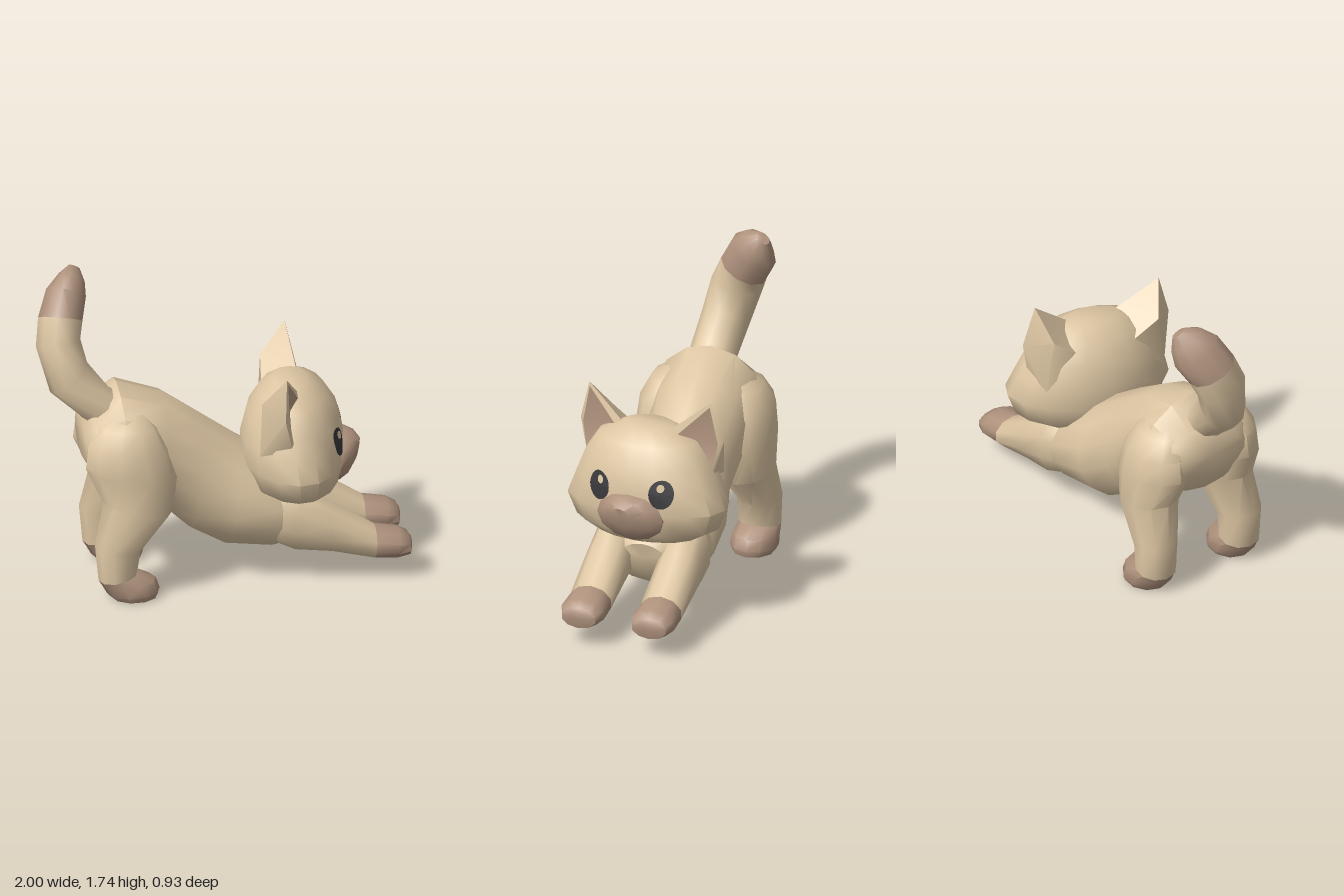
import * as THREE from 'three';
import { toCreasedNormals } from 'three/addons/utils/BufferGeometryUtils.js';

const mat = (name, color) => Object.assign(
  new THREE.MeshStandardMaterial({ color, side: THREE.DoubleSide }), { name });

// Skin over oval rings. Each ring: [xA, yA, xB, yB, halfWidthZ, centreZ, sideRise, sideShift];
// A and B are opposite points of the oval in the xy plane, sideShift moves both flanks along x.
function loft(name, material, rings, capStart, capEnd, sides = 12) {
  const pos = [], idx = [];
  for (const [xa, ya, xb, yb, w, zc = 0, rise = 0, shift = 0] of rings) {
    for (let i = 0; i < sides; i++) {
      const t = (i / sides) * Math.PI * 2, c = Math.cos(t), s = Math.sin(t);
      pos.push((xa + xb) / 2 + c * (xa - xb) / 2 + s * s * shift,
        (ya + yb) / 2 + c * (ya - yb) / 2 + s * rise, zc + s * w);
    }
  }
  for (let r = 0; r < rings.length - 1; r++) {
    for (let i = 0; i < sides; i++) {
      const a = r * sides + i, b = r * sides + (i + 1) % sides;
      idx.push(a, b, a + sides, b, b + sides, a + sides);
    }
  }
  const cap = (r, flip) => {
    const [xa, ya, xb, yb, , zc = 0] = rings[r], n = pos.length / 3;
    pos.push((xa + xb) / 2, (ya + yb) / 2, zc);
    for (let i = 0; i < sides; i++) {
      const a = r * sides + i, b = r * sides + (i + 1) % sides;
      idx.push(...(flip ? [b, a, n] : [a, b, n]));
    }
  };
  if (capStart) cap(0, true);
  if (capEnd) cap(rings.length - 1, false);

  // turn the faces outward whichever way the rings run
  const v = (i) => new THREE.Vector3().fromArray(pos, i * 3);
  const mid = new THREE.Vector3();
  for (let i = 0; i < pos.length / 3; i++) mid.add(v(i));
  mid.divideScalar(pos.length / 3);
  let volume = 0;
  for (let i = 0; i < idx.length; i += 3) {
    const [a, b, c] = [v(idx[i]).sub(mid), v(idx[i + 1]).sub(mid), v(idx[i + 2]).sub(mid)];
    volume += a.dot(b.cross(c));
  }
  if (volume < 0) idx.reverse();

  const g = new THREE.BufferGeometry();
  g.setAttribute('position', new THREE.Float32BufferAttribute(pos, 3));
  g.setIndex(idx);
  const mesh = new THREE.Mesh(toCreasedNormals(g, 0.85), material);
  mesh.name = name;
  return mesh;
}

// Mesh from a few named corner points
function facets(name, material, points, faces) {
  const g = new THREE.BufferGeometry();
  g.setAttribute('position', new THREE.Float32BufferAttribute(
    faces.flatMap((f) => [...f].flatMap((k) => points[k])), 3));
  const mesh = new THREE.Mesh(toCreasedNormals(g, 0.9), material);
  mesh.name = name;
  return mesh;
}

// Thin disc draped over the front (+x) of a mesh
function drapedDisc(name, material, target, y, z, ry, rz, lift) {
  const g = new THREE.RingGeometry(0.001, 1, 20, 3);
  const p = g.attributes.position, ray = new THREE.Raycaster();
  for (let i = 0; i < p.count; i++) {
    const py = y + p.getY(i) * ry, pz = z - p.getX(i) * rz;
    ray.set(new THREE.Vector3(3, py, pz), new THREE.Vector3(-1, 0, 0));
    p.setXYZ(i, ray.intersectObject(target)[0].point.x + lift, py, pz);
  }
  g.computeVertexNormals();
  const mesh = new THREE.Mesh(g, material);
  mesh.name = name;
  return mesh;
}

export function createModel() {
  const fur = mat('cream fur', 0xdcc5a2);
  const brown = mat('brown markings', 0xaf927d);
  const dark = mat('dark eye', 0x38383b);
  const model = new THREE.Group();
  model.name = 'stretchingKitten';

  // Body, raised rump to lowered chest
  model.add(loft('body', fur, [
    [-0.765, 0.94, -0.76, 0.72, 0.20, 0.01],
    [-0.72, 1.02, -0.68, 0.58, 0.28, 0.01],
    [-0.57, 1.13, -0.52, 0.50, 0.32, 0.01],
    [-0.32, 1.05, -0.35, 0.42, 0.275, 0],
    [-0.10, 0.90, -0.18, 0.26, 0.25, -0.01],
    [0.10, 0.75, 0.00, 0.165, 0.29, -0.02],
    [0.30, 0.62, 0.25, 0.145, 0.31, -0.02],
    [0.46, 0.51, 0.41, 0.17, 0.24, -0.01],
    [0.53, 0.44, 0.49, 0.26, 0.13, -0.01],
  ], true, true, 14));

  // Legs
  for (const s of [1, -1]) {
    const side = s > 0 ? 'left' : 'right';
    const place = (rings, z0) => rings.map(([a, b, c, d, w, z]) => [a, b, c, d, w, z0 + s * z]);
    const wrist = [0.80, 0.28, 0.79, 0.10, 0.12, 0.20];
    model.add(loft(side + 'FrontLeg', fur, place([
      [0.16, 0.46, 0.18, 0.32, 0.04, 0.18],
      [0.26, 0.55, 0.27, 0.21, 0.10, 0.19],
      [0.37, 0.56, 0.37, 0.165, 0.125, 0.20],
      [0.55, 0.44, 0.56, 0.145, 0.125, 0.20],
      wrist,
    ], -0.015), true, false, 10));
    model.add(loft(side + 'FrontPaw', brown, place([
      wrist,
      [0.93, 0.255, 0.91, 0.095, 0.125, 0.20],
      [0.98, 0.225, 0.985, 0.11, 0.10, 0.20],
      [0.995, 0.20, 0.99, 0.13, 0.06, 0.20],
    ], -0.015), false, true, 10));

    const ankle = [-0.71, 0.10, -0.50, 0.145, 0.115, 0.27];
    model.add(loft(side + 'HindLeg', fur, place([
      [-0.58, 1.04, -0.46, 1.03, 0.04, 0.14],
      [-0.70, 0.96, -0.38, 0.95, 0.12, 0.19],
      [-0.755, 0.86, -0.32, 0.83, 0.155, 0.215],
      [-0.77, 0.73, -0.27, 0.66, 0.165, 0.22],
      [-0.68, 0.54, -0.31, 0.46, 0.15, 0.24],
      [-0.73, 0.31, -0.48, 0.27, 0.12, 0.27],
      ankle,
    ], 0.015), true, false, 10));
    model.add(loft(side + 'HindPaw', brown, place([
      ankle,
      [-0.69, 0.07, -0.40, 0.10, 0.125, 0.27],
      [-0.665, 0.025, -0.38, 0.04, 0.13, 0.27],
      [-0.64, 0.00, -0.39, 0.005, 0.115, 0.27],
    ], 0.015), false, true, 10));
  }

  // Tail, curling up and over to the right
  const tailBand = [-0.98, 1.50, -0.74, 1.46, 0.125, -0.07, 0.06];
  model.add(loft('tail', fur, [
    [-0.68, 0.86, -0.48, 1.02, 0.13, 0.04],
    [-0.78, 0.97, -0.62, 1.12, 0.13, 0.04],
    [-0.93, 1.10, -0.73, 1.26, 0.13, 0.025, 0.01],
    [-1.00, 1.35, -0.76, 1.38, 0.135, -0.02, 0.04],
    tailBand,
  ], true, false, 10));
  model.add(loft('tailTip', brown, [
    tailBand,
    [-0.925, 1.63, -0.71, 1.57, 0.12, -0.14, 0.07],
    [-0.85, 1.70, -0.71, 1.64, 0.085, -0.18, 0.05],
    [-0.79, 1.73, -0.73, 1.70, 0.035, -0.215, 0.02],
  ], false, true, 10));

  // Head, built from chin to crown, then turned and tipped slightly
  const head = new THREE.Group();
  head.name = 'head';
  const skull = loft('skull', fur, [
    [0.30, 0.46, 0.52, 0.46, 0.13],
    [0.19, 0.50, 0.60, 0.50, 0.31, 0, 0, 0.02],
    [0.13, 0.56, 0.64, 0.56, 0.42, 0, 0, 0.035],
    [0.10, 0.68, 0.66, 0.68, 0.47, 0, 0, 0.04],
    [0.105, 0.80, 0.655, 0.80, 0.42, 0, 0, 0.02],
    [0.135, 0.92, 0.63, 0.92, 0.37],
    [0.20, 1.03, 0.56, 1.03, 0.29],
    [0.28, 1.10, 0.46, 1.10, 0.14],
  ], true, true, 16);
  head.add(skull);
  head.add(loft('muzzle', brown, [
    [0.54, 0.80, 0.54, 0.51, 0.19, -0.01],
    [0.65, 0.79, 0.635, 0.52, 0.20, -0.01],
    [0.71, 0.775, 0.68, 0.55, 0.14, -0.005],
    [0.745, 0.74, 0.72, 0.62, 0.06],
  ], true, true));

  for (const s of [1, -1]) {
    const side = s > 0 ? 'left' : 'right';
    head.add(drapedDisc(side + 'Eye', dark, skull, 0.805, s * 0.186 - 0.01, 0.078, 0.067, 0.006));
    head.add(drapedDisc(side + 'EyeGlint', fur, skull, 0.84, s * 0.18 - 0.013, 0.022, 0.02, 0.009));

    // Ear: fur shell sunk into the skull, with a brown hollow facing forward
    const p = {
      T: [0.345, 1.26, 0.37], O: [0.38, 0.84, 0.38], I: [0.41, 1.07, 0.12],
      M: [0.34, 1.04, 0.435], B: [0.215, 1.09, 0.31], L: [0.205, 0.80, 0.35],
      K: [0.22, 0.98, 0.15],
      t: [0.352, 1.235, 0.365], m: [0.362, 1.03, 0.41], o: [0.385, 0.88, 0.38],
      i: [0.415, 1.05, 0.17], C: [0.35, 1.03, 0.31],
    };
    for (const k in p) p[k][2] *= s;
    head.add(facets(side + 'Ear', fur, p, ['TIB', 'TBM', 'BLM', 'LOM', 'BIK', 'BKL',
      'TMm', 'Tmt', 'MOo', 'Mom', 'Tti', 'TiI']));
    head.add(facets(side + 'EarHollow', brown, p, ['tmC', 'moC', 'oiC', 'itC']));
  }
  head.children.forEach((m) => m.position.set(-0.42, -0.70, 0));
  head.position.set(0.42, 0.69, 0);
  head.rotation.set(0.045, -0.14, 0);
  model.add(head);
  return model;
}
